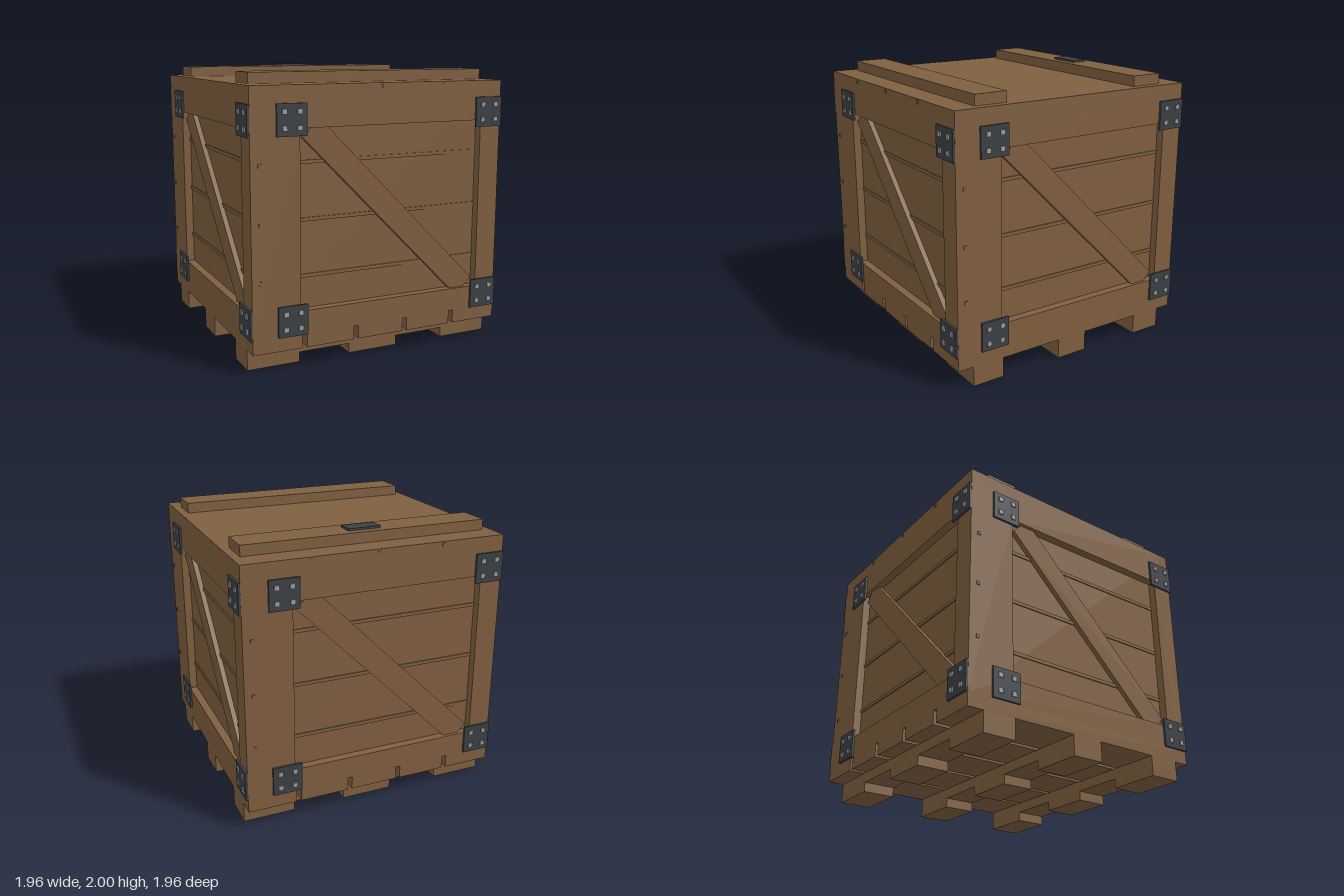
import * as THREE from 'three';

export function createModel() {
  const wood = new THREE.MeshStandardMaterial({ color: 0x7f5f40 });
  wood.name = 'wood';
  const darkMetal = new THREE.MeshStandardMaterial({ color: 0x3c4044 });
  darkMetal.name = 'darkMetal';
  const boltMetal = new THREE.MeshStandardMaterial({ color: 0x9b9c9c });
  boltMetal.name = 'boltMetal';

  const model = new THREE.Group();
  model.name = 'crate';

  // Box given by its extents on each axis
  function box(parent, name, mat, [x0, x1], [y0, y1], [z0, z1]) {
    const mesh = new THREE.Mesh(new THREE.BoxGeometry(x1 - x0, y1 - y0, z1 - z0), mat);
    mesh.position.set((x0 + x1) / 2, (y0 + y1) / 2, (z0 + z1) / 2);
    mesh.name = name;
    parent.add(mesh);
    return mesh;
  }

  const H = 0.955;      // half width of the crate
  const P = 0.895;      // recessed panel plane
  const BOTTOM = 0.24;
  const TOP = 1.91;

  // Inner body, whose sides are the recessed panels
  box(model, 'body', wood, [-P, P], [BOTTOM, TOP], [-P, P]);

  // Frame board with a rectangular opening
  const frameShape = new THREE.Shape([
    new THREE.Vector2(-H, BOTTOM), new THREE.Vector2(P, BOTTOM),
    new THREE.Vector2(P, TOP), new THREE.Vector2(-H, TOP),
  ]);
  // The opening's right edge is formed by a stile that overlaps the next side
  frameShape.holes.push(new THREE.Path([
    new THREE.Vector2(-0.61, 0.405), new THREE.Vector2(-0.61, 1.63),
    new THREE.Vector2(0.79, 1.63), new THREE.Vector2(0.79, 0.405),
  ]));
  const frameGeometry = new THREE.ExtrudeGeometry(frameShape, { depth: H - P, bevelEnabled: false });

  // Corner bracket with four square bolts
  function bracket(parent, x, y) {
    const group = new THREE.Group();
    group.name = 'bracket';
    group.position.set(x, y, H);
    box(group, 'bracketPlate', darkMetal, [-0.106, 0.106], [-0.106, 0.106], [0, 0.016]);
    for (const bx of [-0.053, 0.053]) {
      for (const by of [-0.053, 0.053]) {
        box(group, 'bolt', boltMetal, [bx - 0.017, bx + 0.017], [by - 0.017, by + 0.017], [0.01, 0.025]);
      }
    }
    parent.add(group);
  }

  // Four identical sides turned around the body
  for (let i = 0; i < 4; i++) {
    const side = new THREE.Group();
    side.name = 'side' + (i + 1);
    side.rotation.y = i * Math.PI / 2;

    const frame = new THREE.Mesh(frameGeometry, wood);
    frame.name = 'sideFrame';
    frame.position.z = P;
    side.add(frame);

    // Strips covering the plank joints, with ends poking through the next side
    for (const y of [0.631, 1.017, 1.403]) {
      box(side, 'jointStrip', wood, [-0.7, 0.961], [y - 0.0125, y + 0.0125], [0.88, P + 0.008]);
    }

    // Diagonal brace
    const brace = box(side, 'diagonalBrace', wood, [-0.865, 0.865], [-0.0865, 0.0865], [0.88, 0.931]);
    brace.position.set(0.091, 1.016, brace.position.z);
    brace.rotation.z = -Math.PI / 4;

    for (const x of [-0.67, 0.848]) {
      for (const y of [0.349, 1.688]) bracket(side, x, y);
    }
    model.add(side);
  }

  // Lid strips with ends just past the front and back
  for (const x of [-0.48, 0, 0.48]) {
    box(model, 'lidStrip', wood, [x - 0.0125, x + 0.0125], [1.875, 1.9], [-0.96, 0.96]);
  }

  // Lid cleats and the metal plate on the rear one
  for (const z of [-0.66, 0.655]) {
    box(model, 'lidCleat', wood, [-0.895, 0.895], [TOP, 1.985], [z - 0.12, z + 0.12]);
  }
  box(model, 'lidPlate', darkMetal, [-0.12, 0.12], [1.985, 2], [-0.72, -0.603]);

  // Pallet deck planks running front to back
  for (const [x0, x1] of [[-H, -0.6], [-0.565, -0.21], [-0.175, 0.175], [0.21, 0.565], [0.6, H]]) {
    box(model, 'deckPlank', wood, [x0, x1], [0.145, BOTTOM], [-H, H]);
  }

  // Notched pallet runners: a full-width beam with three feet
  const runnerShape = new THREE.Shape([
    [-H, 0], [-0.575, 0], [-0.575, 0.07], [-0.19, 0.07], [-0.19, 0], [0.19, 0],
    [0.19, 0.07], [0.575, 0.07], [0.575, 0], [H, 0], [H, 0.145], [-H, 0.145],
  ].map(([x, y]) => new THREE.Vector2(x, y)));
  const runnerGeometry = new THREE.ExtrudeGeometry(runnerShape, { depth: 0.24, bevelEnabled: false });
  for (const z of [-0.718, 0, 0.718]) {
    const runner = new THREE.Mesh(runnerGeometry, wood);
    runner.name = 'palletRunner';
    runner.position.z = z - 0.12;
    model.add(runner);
  }

  return model;
}
